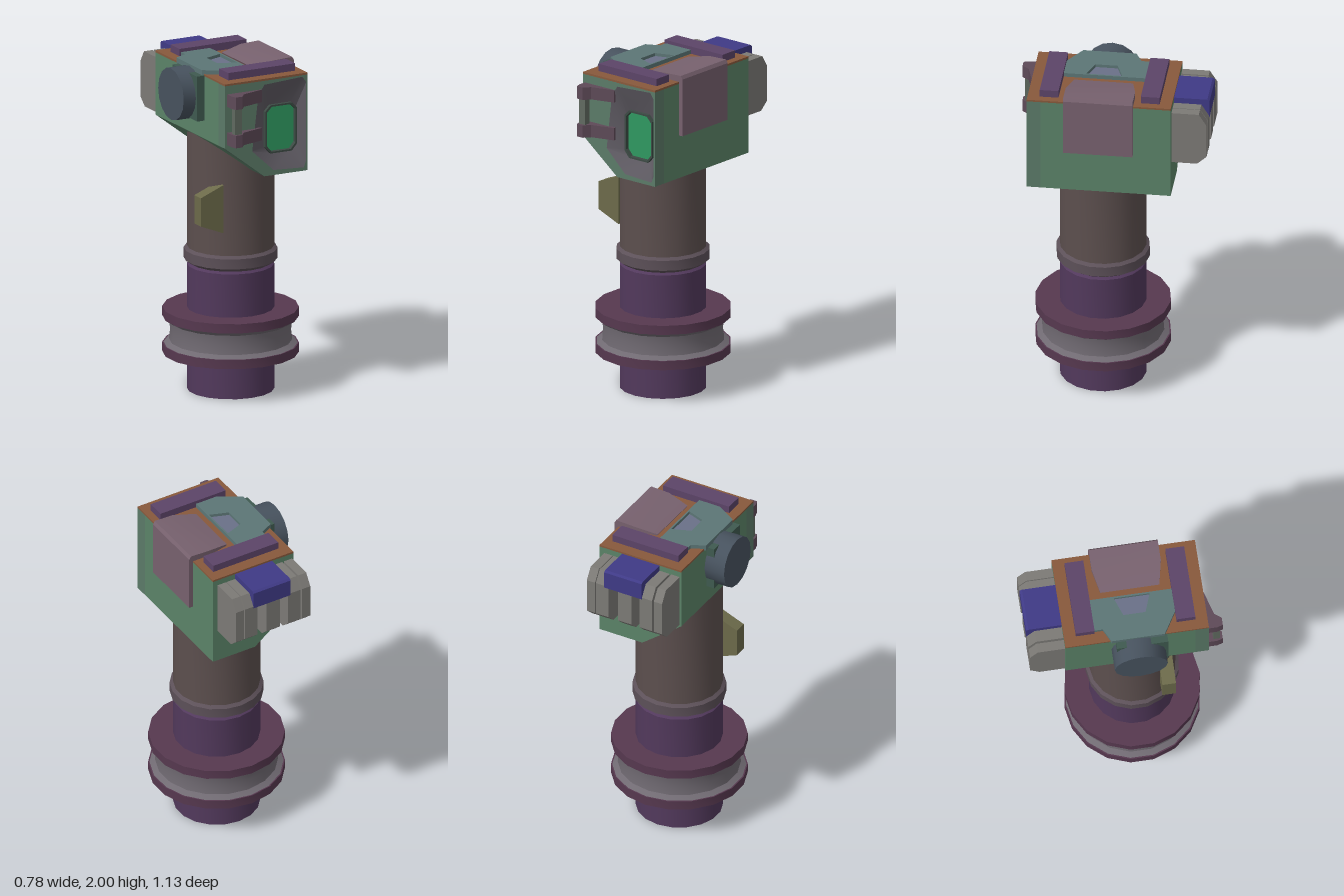
import * as THREE from 'three';
import { toCreasedNormals } from 'three/addons/utils/BufferGeometryUtils.js';

const V = (pts) => pts.map(([x, y]) => new THREE.Vector2(x, y));
const AXIS_Z = 0.07; // the tube and head pivot sit slightly forward

export function createModel() {
  const model = new THREE.Group();

  function add(name, color, geometry, x = 0, y = 0, z = 0) {
    const material = new THREE.MeshStandardMaterial({ color, side: THREE.DoubleSide });
    const mesh = new THREE.Mesh(toCreasedNormals(geometry, 0.5), material);
    mesh.name = name;
    mesh.position.set(x, y, z);
    model.add(mesh);
  }
  const box = (w, h, d) => new THREE.BoxGeometry(w, h, d);
  const lathe = (pts) => new THREE.LatheGeometry(V(pts), 18);
  function extrude(pts, depth, hole) {
    const shape = new THREE.Shape(V(pts));
    if (hole) shape.holes.push(new THREE.Path(V(hole)));
    return new THREE.ExtrudeGeometry(shape, { depth, bevelEnabled: false });
  }
  // (z, y) outline extruded along x, centred on x = 0
  const extrudeX = (pts, w) => extrude(pts, w).rotateY(-Math.PI / 2).translate(w / 2, 0, 0);
  // (x, z) outline extruded upwards from y = 0
  const flip = (pts) => pts.map(([x, z]) => [x, -z]);
  const extrudeY = (pts, h, hole) => extrude(flip(pts), h, hole && flip(hole)).rotateX(-Math.PI / 2);

  // Handle tube, collar and grooved ring
  add('lowerTube', 0x52395c, lathe([[0, 0], [0.253, 0], [0.253, 0.75], [0.235, 0.765], [0, 0.765]]), 0, 0, AXIS_Z);
  add('upperTube', 0x5c4f4e, lathe([[0.253, 0.85], [0.253, 1.57], [0, 1.57]]), 0, 0, AXIS_Z);
  add('collar', 0x5c5058, lathe([[0, 0.75], [0.235, 0.76], [0.272, 0.785], [0.272, 0.845], [0.253, 0.86], [0, 0.86]]), 0, 0, AXIS_Z);
  add('ringGroove', 0x706a72, lathe([[0.396, 0.27], [0.357, 0.295], [0.35, 0.355], [0.357, 0.41], [0.396, 0.435]]), 0, 0, AXIS_Z);
  for (const y of [0.22, 0.435]) {
    add('ringFlange', 0x56384f, lathe([[0.25, y], [0.396, y], [0.396, y + 0.055], [0.25, y + 0.055]]), 0, 0, AXIS_Z);
  }

  // Tapered switch at the front right of the tube
  add('switch', 0x6c6a4a, extrude([[-0.16, 1], [-0.16, 1.29], [-0.31, 1.23], [-0.31, 1.06]], 0.08), 0, 0, 0.2);

  // Head: solid block with a pierced front slab and a deck on top
  const outline = [[0, 1.37], [0.285, 1.37], [0.285, 1.945], [-0.26, 1.945], [-0.26, 1.57]];
  const rim = [[0.06, 1.4], [0.26, 1.39], [0.275, 1.43], [0.275, 1.9], [0.25, 1.935], [0, 1.92], [-0.04, 1.86], [-0.08, 1.53]];
  const lens = [[0.06, 1.49], [0.2, 1.49], [0.235, 1.53], [0.235, 1.745], [0.2, 1.78], [0.06, 1.78], [0.025, 1.745], [0.025, 1.53]];
  add('headBlock', 0x5b8368, extrude(outline, 0.76), 0, 0, -0.36);
  add('headFront', 0x5b7a68, extrude(outline, 0.08, rim), 0, 0, 0.4);
  add('headDeck', 0x88593c, box(0.545, 0.012, 0.84), 0.0125, 1.95, 0.06);

  // Funnel from the rim back to the lens
  const funnelPos = [];
  rim.forEach((a, i) => {
    const j = (i + 1) % rim.length;
    const A = [...a, 0.48], B = [...rim[j], 0.48], C = [...lens[j], 0.425], D = [...lens[i], 0.425];
    funnelPos.push(...A, ...B, ...C, ...A, ...C, ...D);
  });
  const funnel = new THREE.BufferGeometry();
  funnel.setAttribute('position', new THREE.Float32BufferAttribute(funnelPos, 3));
  funnel.computeVertexNormals();
  add('lensFunnel', 0x5e5a62, funnel);
  const inner = lens.map(([x, y]) => [0.13 + (x - 0.13) * 0.9, 1.635 + (y - 1.635) * 0.93]);
  add('lensFrame', 0x3c4a44, extrude(lens, 0.045, inner), 0, 0, 0.4);
  add('lens', 0x2f9860, extrude(inner, 0.02), 0, 0, 0.4);

  // Wrap-over pad on the left shoulder, narrower at its inner end
  const pad = extrude([[0.04, 1.94], [0.18, 1.99], [0.3, 1.995], [0.312, 1.975], [0.312, 1.63], [0.2, 1.63]], 0.405);
  const pp = pad.attributes.position;
  for (let i = 0; i < pp.count; i++) {
    if (pp.getX(i) < 0.1) {
      pp.setZ(i, pp.getZ(i) > 0.2 ? 0.375 : 0.03);
      pp.setY(i, 1.965);
    }
  }
  add('shoulderPad', 0x77616e, pad, 0, 0, -0.14);

  // Raised bars across the top
  for (const z of [0.355, -0.235]) add('topBar', 0x5c4468, box(0.44, 0.05, 0.11), 0.02, 1.975, z);

  // Stepped mount with a pocket, carrying the side dial
  const mount = [[-0.27, -0.09], [-0.19, -0.13], [-0.19, -0.18], [0, -0.18], [0, 0.3], [-0.14, 0.3], [-0.27, 0.22]];
  const pocket = [[-0.12, 0], [-0.01, -0.04], [-0.01, 0.17], [-0.12, 0.13]];
  add('dialMount', 0x5c7676, extrudeY(mount, 0.035, pocket), 0, 1.945, 0);
  add('pocketFloor', 0x6a7088, extrudeY(pocket, 0.012), 0, 1.95, 0);
  add('dialPlate', 0x3f5a50, box(0.06, 0.27, 0.3), -0.28, 1.815, 0.085);
  add('dial', 0x47525e, new THREE.CylinderGeometry(0.155, 0.155, 0.13, 16).rotateZ(Math.PI / 2), -0.325, 1.815, 0.065);

  // Front grip: two wedge brackets joined by a post
  const bracket = [[-0.245, 0.47], [-0.245, 0.53], [-0.235, 0.565], [-0.19, 0.565], [-0.16, 0.525], [-0.02, 0.485], [-0.02, 0.47]];
  for (const y of [1.59, 1.82]) add('gripBracket', 0x5e4a58, extrudeY(bracket, 0.075), 0, y, 0);
  add('gripPost', 0x606a60, box(0.045, 0.2, 0.04), -0.208, 1.74, 0.53);

  // Rear cooling fins, recessed core and cap
  const fin = [[-0.35, 1.58], [-0.51, 1.58], [-0.565, 1.63], [-0.565, 1.84], [-0.52, 1.91], [-0.35, 1.91]];
  for (const [x, w] of [[-0.222, 0.055], [-0.14, 0.085], [0, 0.09], [0.15, 0.085], [0.225, 0.055]]) {
    add('rearFin', 0x7c7a76, extrudeX(fin, w), x, 0, 0);
  }
  add('finCore', 0x4c4a50, box(0.34, 0.25, 0.1), 0, 1.745, -0.4);
  add('finCap', 0x3f3a86, extrudeX([[-0.35, 1.83], [-0.568, 1.83], [-0.568, 1.935], [-0.555, 1.945], [-0.35, 1.945]], 0.25), 0.01, 0, 0);

  return model;
}
